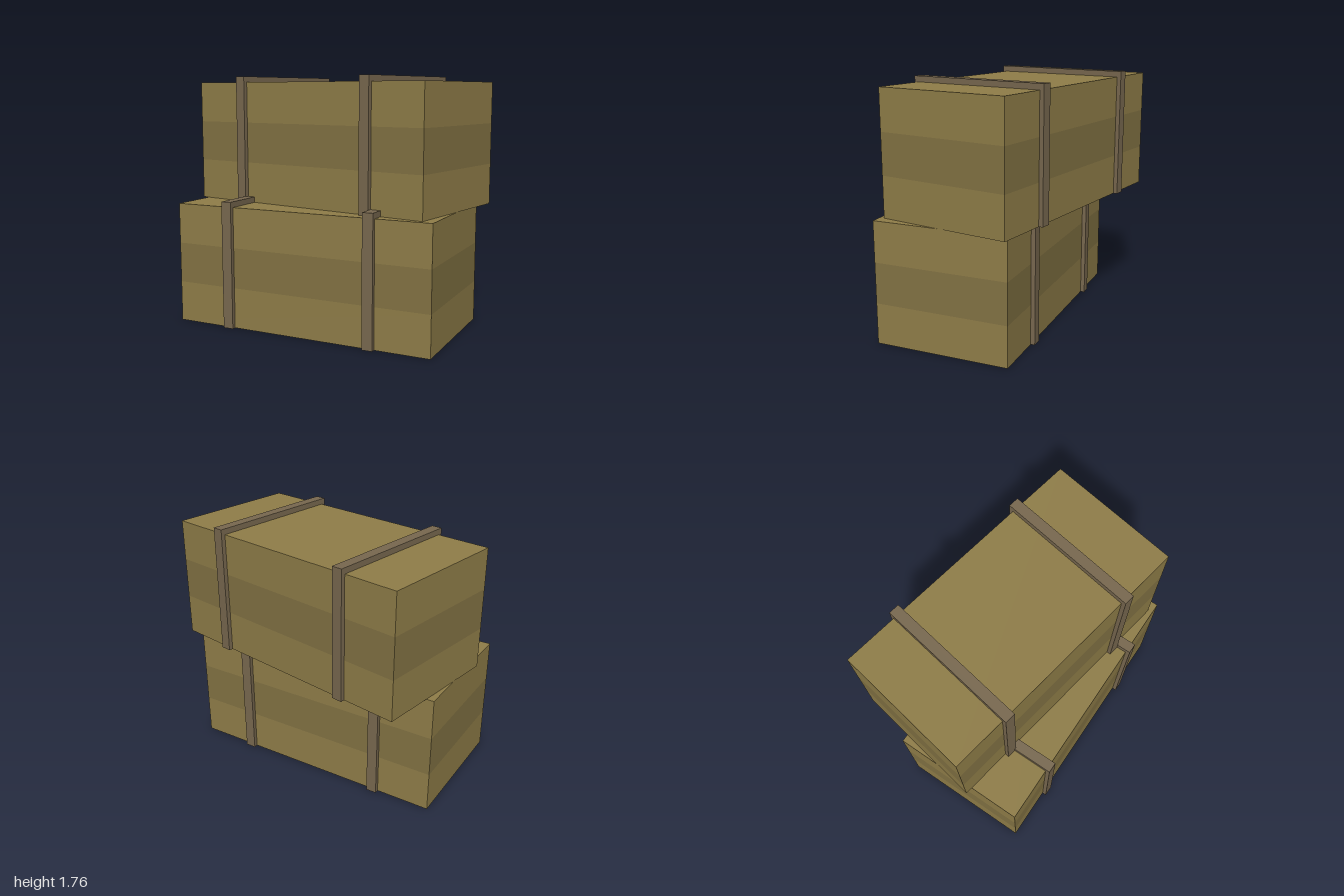
import * as THREE from 'three';

const LENGTH = 1.91, HEIGHT = 0.86, DEPTH = 0.955;
const STRAP_WIDTH = 0.075, STRAP_RISE = 0.04, STRAP_OUT = 0.03, STRAP_X = 0.533;

const lightMat = new THREE.MeshStandardMaterial({ color: 0x8f7d48 });
const darkMat = new THREE.MeshStandardMaterial({ color: 0x827243 });
const strapMat = new THREE.MeshStandardMaterial({ color: 0x78684f });

function addMesh(parent, name, geometry, material, x, y) {
  const mesh = new THREE.Mesh(geometry, material);
  mesh.name = name;
  mesh.position.set(x, y, 0);
  parent.add(mesh);
}

// One horizontal band of the crate; only the outer bands keep a lid or a floor
function bandGeometry(height, hasTop, hasBottom) {
  const geo = new THREE.BoxGeometry(LENGTH, height, DEPTH);
  const index = Array.from(geo.index.array);
  geo.setIndex(index.filter((_, i) =>
    (hasTop || i < 12 || i >= 18) && (hasBottom || i < 18 || i >= 24)));
  geo.clearGroups();
  return geo;
}

function createCrate(name) {
  const crate = new THREE.Group();
  crate.name = name;

  // Three stacked bands, the middle one darker
  const h = HEIGHT / 3;
  ['lowerBand', 'middleBand', 'upperBand'].forEach((band, i) =>
    addMesh(crate, band, bandGeometry(h, i === 2, i === 0), i === 1 ? darkMat : lightMat, 0, (i + 0.5) * h));

  // Straps wrapped over the front, top and back
  const strapHeight = HEIGHT + STRAP_RISE;
  for (const side of [-1, 1]) {
    const geo = new THREE.BoxGeometry(STRAP_WIDTH, strapHeight, DEPTH + 2 * STRAP_OUT);
    addMesh(crate, side < 0 ? 'rightStrap' : 'leftStrap', geo, strapMat, side * STRAP_X, strapHeight / 2);
  }
  return crate;
}

export function createModel() {
  const model = new THREE.Group();
  model.name = 'stackedCrates';

  // Lower crate, turned slightly one way
  const lower = createCrate('lowerCrate');
  lower.position.set(-0.005, 0, 0.11);
  lower.rotation.y = 0.07;

  // Upper crate, turned the other way and set back
  const upper = createCrate('upperCrate');
  upper.position.set(0, HEIGHT, -0.085);
  upper.rotation.y = -0.105;

  model.add(lower, upper);
  return model;
}
